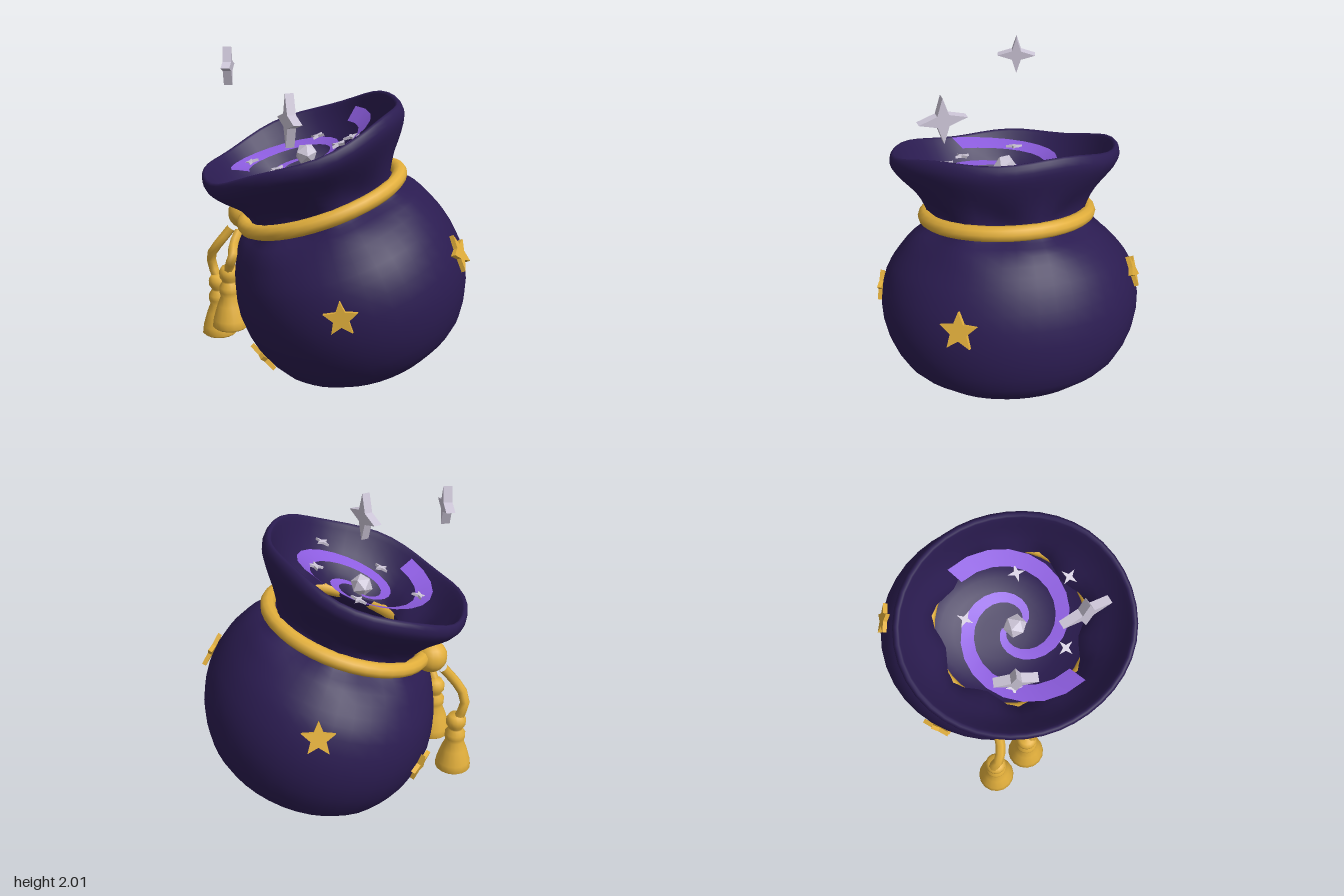
import * as THREE from 'three';
import { mergeVertices } from 'three/addons/utils/BufferGeometryUtils.js';

const V = (x, y, z) => new THREE.Vector3(x, y, z);

function material(name, color, extra = {}) {
  const m = new THREE.MeshStandardMaterial({ color, ...extra });
  m.name = name;
  return m;
}

function mesh(name, geometry, mat, parent) {
  const m = new THREE.Mesh(geometry, mat);
  m.name = name;
  parent.add(m);
  return m;
}

// Extruded star, centred on its own thickness
function starGeometry(points, outer, inner, depth) {
  const shape = new THREE.Shape();
  for (let i = 0; i < points * 2; i++) {
    const a = Math.PI / 2 + (i * Math.PI) / points;
    const r = i % 2 ? inner : outer;
    shape[i ? 'lineTo' : 'moveTo'](r * Math.cos(a), r * Math.sin(a));
  }
  shape.closePath();
  const g = new THREE.ExtrudeGeometry(shape, { depth, bevelEnabled: false });
  return g.translate(0, 0, -depth / 2);
}

// Sack: turned profile, slightly oval, pinched into pleats at the neck and wavy at the rim
function sackGeometry() {
  const profile = [
    [0, -0.565], [0.2, -0.562], [0.38, -0.522], [0.5, -0.455], [0.618, -0.36],
    [0.715, -0.17], [0.743, 0.04], [0.705, 0.22], [0.648, 0.33], [0.57, 0.435],
    [0.495, 0.488], [0.447, 0.535], [0.444, 0.585], [0.492, 0.67], [0.565, 0.77],
    [0.628, 0.86], [0.65, 0.92], [0.64, 0.965], [0.618, 0.972], [0.598, 0.935],
    [0.54, 0.8], [0.468, 0.67], [0.43, 0.58],
  ].map(([r, t]) => new THREE.Vector2(r, t));
  let g = new THREE.LatheGeometry(new THREE.SplineCurve(profile).getPoints(44), 42);
  const p = g.attributes.position;
  for (let i = 0; i < p.count; i++) {
    const x = p.getX(i), t = p.getY(i), z = p.getZ(i);
    const r = Math.hypot(x, z);
    if (r < 0.01) { p.setXYZ(i, 0, t, 0); continue; }
    const a = Math.atan2(z, x);
    const pleat = Math.exp(-(((t - 0.57) / 0.13) ** 2));
    const rim = THREE.MathUtils.smoothstep(t, 0.62, 0.95);
    const belly = 1 - THREE.MathUtils.smoothstep(t, 0.2, 0.55);
    const k = (r + 0.033 * pleat * Math.cos(7 * (a - 3.23))
      + (0.027 * rim + 0.054 * r * belly) * Math.cos(2 * (a - 0.63))) / r;
    const lift = -0.028 + 0.025 * Math.cos(a + 0.9) + 0.013 * Math.cos(5 * a + 1);
    p.setXYZ(i, x * k, t + rim * lift, z * k);
  }
  g.deleteAttribute('uv');
  g.deleteAttribute('normal');
  g = mergeVertices(g, 1e-4);
  g.computeVertexNormals();
  return g;
}

// Height of the swirl's bowl at a given radius
const bowl = (r) => 0.785 + 0.66 * r * r;

// One arm of the swirl: a ribbon that narrows towards the centre
function armGeometry(start) {
  const n = 20, pos = [], index = [];
  for (let i = 0; i <= n; i++) {
    const u = i / n, a = start + u * 5.4;
    const r = THREE.MathUtils.lerp(0.43, 0.05, u);
    const w = THREE.MathUtils.lerp(0.05, 0.022, u);
    for (const q of [r - w, r + w]) pos.push(q * Math.cos(a), bowl(q), q * Math.sin(a));
    if (i < n) {
      const b = i * 2;
      index.push(b, b + 2, b + 1, b + 1, b + 2, b + 3);
    }
  }
  const g = new THREE.BufferGeometry();
  g.setAttribute('position', new THREE.Float32BufferAttribute(pos, 3));
  // wind every face upwards
  for (let i = 0; i < index.length; i += 3) {
    const [a, b, c] = [0, 1, 2].map((k) => V().fromArray(pos, index[i + k] * 3));
    if (b.sub(a).cross(c.sub(a)).y < 0) [index[i + 1], index[i + 2]] = [index[i + 2], index[i + 1]];
  }
  g.setIndex(index);
  g.computeVertexNormals();
  return g;
}

export function createModel() {
  const cloth = material('dark cloth', 0x2b1c51, { side: THREE.DoubleSide });
  const gold = material('gold', 0xe2af3c);
  const violet = material('violet glow', 0x8d5de0, { side: THREE.DoubleSide });
  const silver = material('silver', 0xcdc6d8, { flatShading: true });

  const root = new THREE.Group();
  root.name = 'magicPouch';

  // Everything on the leaning axis of the pouch
  const pouch = new THREE.Group();
  pouch.name = 'pouch';
  pouch.position.set(0.03, 0.603, -0.065);
  pouch.quaternion.setFromUnitVectors(V(0, 1, 0), V(-0.18, 0.947, 0.265).normalize());
  root.add(pouch);

  const sack = mesh('sack', sackGeometry(), cloth, pouch);
  const rope = mesh('neckRope', new THREE.TorusGeometry(0.487, 0.045, 10, 40), gold, pouch);
  rope.rotation.x = Math.PI / 2;
  rope.position.y = 0.55;

  // Swirl in the opening
  const swirl = new THREE.Group();
  swirl.name = 'swirl';
  pouch.add(swirl);
  for (const start of [-1.63, -1.63 + Math.PI]) mesh('swirlArm', armGeometry(start), violet, swirl);
  mesh('swirlCore', new THREE.IcosahedronGeometry(0.068, 0), silver, swirl).position.y = 0.825;
  const sparkle = starGeometry(4, 0.05, 0.016, 0.015);
  [[-0.16, -0.23], [0.22, -0.19], [0.395, 0.04], [-0.26, 0.22], [0.095, 0.29]].forEach(([x, z], i) => {
    const s = mesh('sparkle', sparkle, silver, swirl);
    s.position.set(x, bowl(Math.hypot(x, z)) + 0.01, z);
    s.rotation.set(-Math.PI / 2, 0, 0.3 + i * 0.7);
  });

  // Gold stars sewn on the sack: target point, size and roll
  root.updateMatrixWorld(true);
  const centre = pouch.position.clone();
  const ray = new THREE.Raycaster();
  [
    [V(0.6, 0.66, 0.49), 0.1, 0.1],
    [V(0.65, 0.86, -0.36), 0.115, 0.15],
    [V(-0.14, 0.18, 0.47), 0.105, 0.15],
    [V(-0.48, 0.87, -0.6), 0.1, 0],
    [V(-0.68, 0.46, 0.02), 0.1, 0.2],
  ].forEach(([target, size, roll]) => {
    const dir = target.clone().sub(centre).normalize();
    ray.set(centre.clone().addScaledVector(dir, 3), dir.clone().negate());
    const hit = ray.intersectObject(sack)[0];
    const normal = hit.face.normal.clone().transformDirection(sack.matrixWorld);
    if (normal.dot(dir) < 0) normal.negate();
    const s = mesh('sackStar', starGeometry(5, size, size * 0.45, 0.026), gold, root);
    s.position.copy(hit.point).addScaledVector(normal, 0.015);
    s.lookAt(s.position.clone().add(normal));
    s.rotateZ(roll);
  });

  // Knot with two cords and tassels
  mesh('knot', new THREE.SphereGeometry(0.098, 16, 12), gold, root).position.set(-0.505, 0.975, 0.345);
  const tasselGeometry = new THREE.LatheGeometry([
    [0, 0], [0.095, 0], [0.112, 0.015], [0.105, 0.06], [0.078, 0.15], [0.056, 0.205],
    [0.064, 0.235], [0.064, 0.265], [0.046, 0.295], [0.044, 0.305], [0.06, 0.33],
    [0.062, 0.365], [0.045, 0.395], [0, 0.405],
  ].map(([r, y]) => new THREE.Vector2(r, y)), 16);
  [
    { foot: V(-0.645, 0.16, 0.46), cord: [V(-0.555, 0.88, 0.41), V(-0.595, 0.8, 0.46), V(-0.65, 0.72, 0.49), V(-0.685, 0.645, 0.48), V(-0.65, 0.52, 0.46)] },
    { foot: V(-0.425, 0.29, 0.52), cord: [V(-0.44, 0.885, 0.43), V(-0.41, 0.825, 0.49), V(-0.35, 0.77, 0.54), V(-0.395, 0.69, 0.54), V(-0.425, 0.63, 0.52)] },
  ].forEach(({ foot, cord }) => {
    const path = new THREE.CatmullRomCurve3(cord);
    mesh('cord', new THREE.TubeGeometry(path, 6, 0.03, 7), gold, root);
    mesh('tassel', tasselGeometry, gold, root).position.copy(foot);
  });

  // Silver stars floating above the opening
  [
    [V(-0.465, 1.89, 0.455), 0.112, -0.72],
    [V(0.112, 1.652, 0.445), 0.15, -0.34],
  ].forEach(([pos, size, turn]) => {
    const s = mesh('floatingStar', starGeometry(4, size, size * 0.34, 0.05), silver, root);
    s.position.copy(pos);
    s.rotation.y = turn;
  });

  return root;
}
